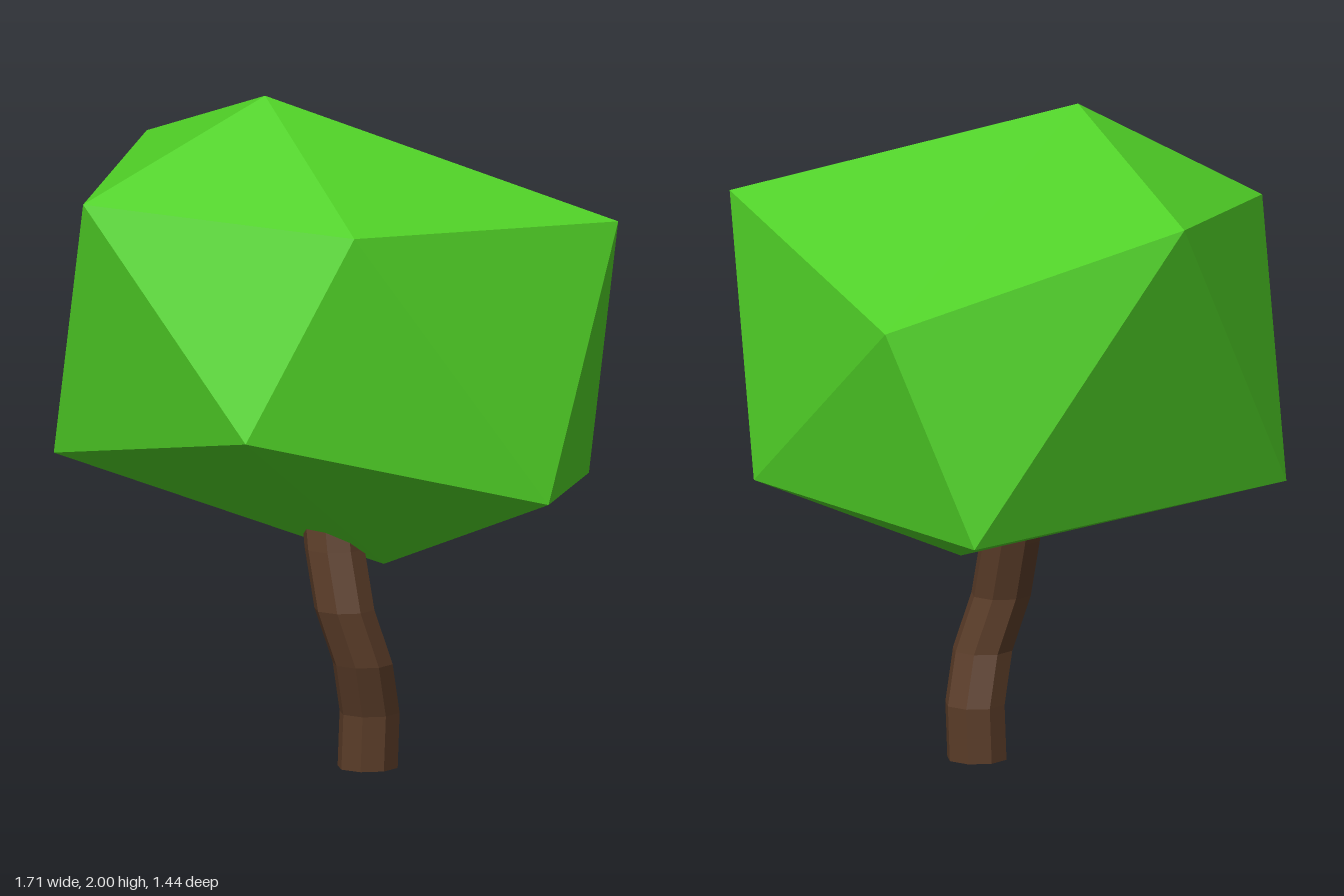
import * as THREE from 'three';

// Loft triangles between two closed rings of equal length (lower, upper)
function band(lower, upper, out) {
  const n = lower.length;
  for (let i = 0; i < n; i++) {
    const j = (i + 1) % n;
    out.push(lower[i], lower[j], upper[i], upper[i], lower[j], upper[j]);
  }
}

// Close a ring with a fan to a single point
function cap(ring, tip, up, out) {
  ring.forEach((p, i) => {
    const q = ring[(i + 1) % ring.length];
    out.push(...(up ? [p, q, tip] : [q, p, tip]));
  });
}

function makeMesh(points, material, name) {
  const geometry = new THREE.BufferGeometry().setFromPoints(points);
  geometry.computeVertexNormals(); // unshared corners give flat facets
  const mesh = new THREE.Mesh(geometry, material);
  mesh.name = name;
  return mesh;
}

const v = (x, y, z) => new THREE.Vector3(x, y, z);

export function createModel() {
  const tree = new THREE.Group();
  tree.name = 'tree';

  const leafGreen = new THREE.MeshStandardMaterial({ color: 0x4fcf26 });
  leafGreen.name = 'leaf green';
  const barkBrown = new THREE.MeshStandardMaterial({ color: 0x5a3c28 });
  barkBrown.name = 'bark brown';

  // Crown: an uneven icosahedron, two five-point rings and two tips
  const upper = [v(-0.71, 1.7, 0.22), v(0.18, 1.69, 0.51), v(0.85, 1.67, -0.04),
    v(0.18, 1.42, -0.7), v(-0.71, 1.77, -0.6)];
  const lower = [v(-0.86, 0.9, -0.04), v(-0.1, 1.1, 0.72), v(0.7, 0.86, 0.22),
    v(0.7, 0.86, -0.3), v(-0.1, 0.79, -0.72)];
  const crown = [];
  band(lower, upper, crown);
  cap(upper, v(-0.22, 2, -0.04), true, crown);
  cap(lower, v(0.14, 0.61, -0.04), false, crown);
  tree.add(makeMesh(crown, leafGreen, 'crown'));

  // Trunk: octagonal rings along a crooked line, running up into the crown
  const centres = [v(0.092, 0, -0.035), v(0.098, 0.165, -0.035), v(0.088, 0.32, 0.012),
    v(0.038, 0.485, 0.035), v(0, 0.66, 0), v(-0.02, 0.8, -0.03)];
  const rings = centres.map((c) => Array.from({ length: 8 }, (_, i) => {
    const a = (i * Math.PI) / 4;
    return v(c.x + 0.091 * Math.sin(a), c.y, c.z + 0.091 * Math.cos(a));
  }));
  const trunk = [];
  for (let i = 0; i < rings.length - 1; i++) band(rings[i], rings[i + 1], trunk);
  cap(rings[0], centres[0], false, trunk);
  cap(rings[5], centres[5], true, trunk);
  tree.add(makeMesh(trunk, barkBrown, 'trunk'));

  return tree;
}
